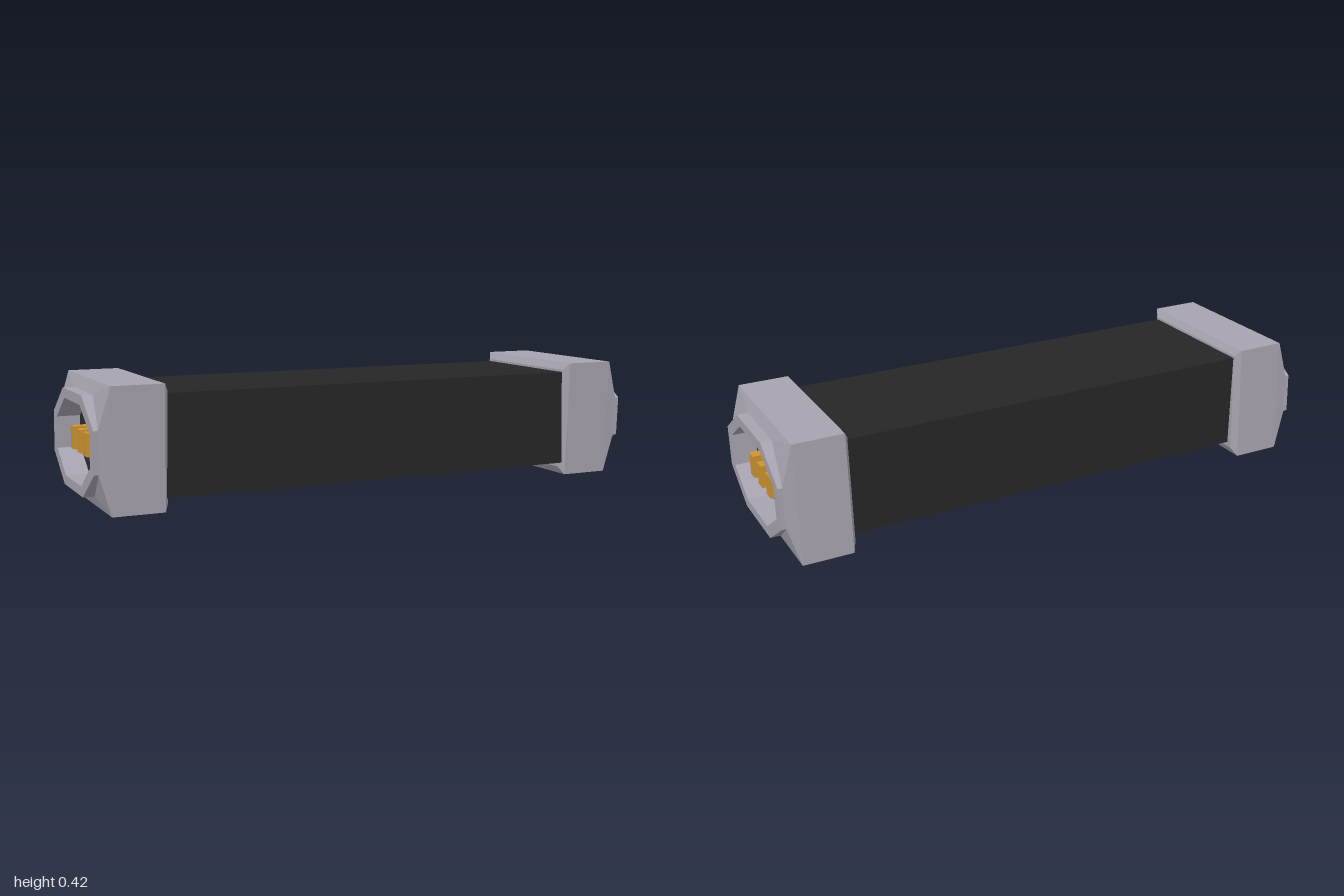
import * as THREE from 'three';

const MID = 0.208;    // centre height
const SHEAR = 0.048;  // slight sideways lean of the end caps

const mat = (color) => new THREE.MeshStandardMaterial({ color, flatShading: true });

// Eight-point ring; sides stand at xs, top and bottom edges at xt.
// hw/hh: half sizes, tz: half length of top edge, sy: half length of side edge
function ring(xs, xt, hw, hh, tz = hw, sy = hh) {
  return [
    [xs, -sy, -hw], [xs, sy, -hw], [xt, hh, -tz], [xt, hh, tz],
    [xs, sy, hw], [xs, -sy, hw], [xt, -hh, tz], [xt, -hh, -tz],
  ].map(([x, y, z]) => new THREE.Vector3(x, y + MID, z + y * SHEAR));
}

// Skin between successive rings; side = -1 mirrors in x
function loft(rings, side) {
  const pos = [];
  const tri = (a, b, c) => {
    const area = new THREE.Triangle(a, b, c).getArea();
    if (area < 1e-7) return;
    for (const p of side > 0 ? [a, b, c] : [a, c, b]) pos.push(p.x * side, p.y, p.z);
  };
  for (let r = 0; r < rings.length - 1; r++) {
    const a = rings[r], b = rings[r + 1];
    for (let i = 0; i < 8; i++) {
      const j = (i + 1) % 8;
      tri(a[i], a[j], b[j]);
      tri(a[i], b[j], b[i]);
    }
  }
  const geo = new THREE.BufferGeometry();
  geo.setAttribute('position', new THREE.Float32BufferAttribute(pos, 3));
  geo.computeVertexNormals();
  return geo;
}

function add(parent, name, geo, material) {
  const mesh = new THREE.Mesh(geo, material);
  mesh.name = name;
  parent.add(mesh);
  return mesh;
}

export function createModel() {
  const model = new THREE.Group();
  model.name = 'connectorBar';
  const shellMat = mat(0xa7a3af);
  const bodyMat = mat(0x262626);
  const floorMat = mat(0x302a2e);
  const pinMat = mat(0xcc9430);

  // Dark rectangular bar
  add(model, 'body', new THREE.BoxGeometry(1.54, 0.339, 0.493), bodyMat)
    .position.set(0, 0.2125, 0.008);

  for (const side of [1, -1]) {
    const end = new THREE.Group();
    end.name = side > 0 ? 'leftEnd' : 'rightEnd';
    model.add(end);

    // Cap: chamfered block, faceted to an octagonal lip with a socket
    const floorX = 0.92;
    const socketFloor = ring(floorX, floorX, 0.224, 0.133, 0.106, 0.055);
    add(end, 'cap', loft([
      ring(0.755, 0.755, 0, 0),
      ring(0.755, 0.755, 0.25, 0.182),
      ring(0.77, 0.77, 0.275, 0.208),
      ring(0.945, 0.945, 0.275, 0.208),
      ring(0.985, 0.962, 0.271, 0.166, 0.127, 0.07),
      ring(1, 1, 0.271, 0.166, 0.127, 0.07),
      ring(1, 1, 0.224, 0.133, 0.106, 0.055),
      socketFloor,
    ], side), shellMat);
    add(end, 'socketFloor', loft([socketFloor, ring(floorX, floorX, 0, 0)], side), floorMat);

    // Row of contact pins
    for (const z of [0.081, -0.003, -0.089]) {
      add(end, 'contactPin', new THREE.BoxGeometry(0.07, 0.078, 0.04), pinMat)
        .position.set(side * 0.945, 0.2075, z);
    }
  }
  return model;
}
